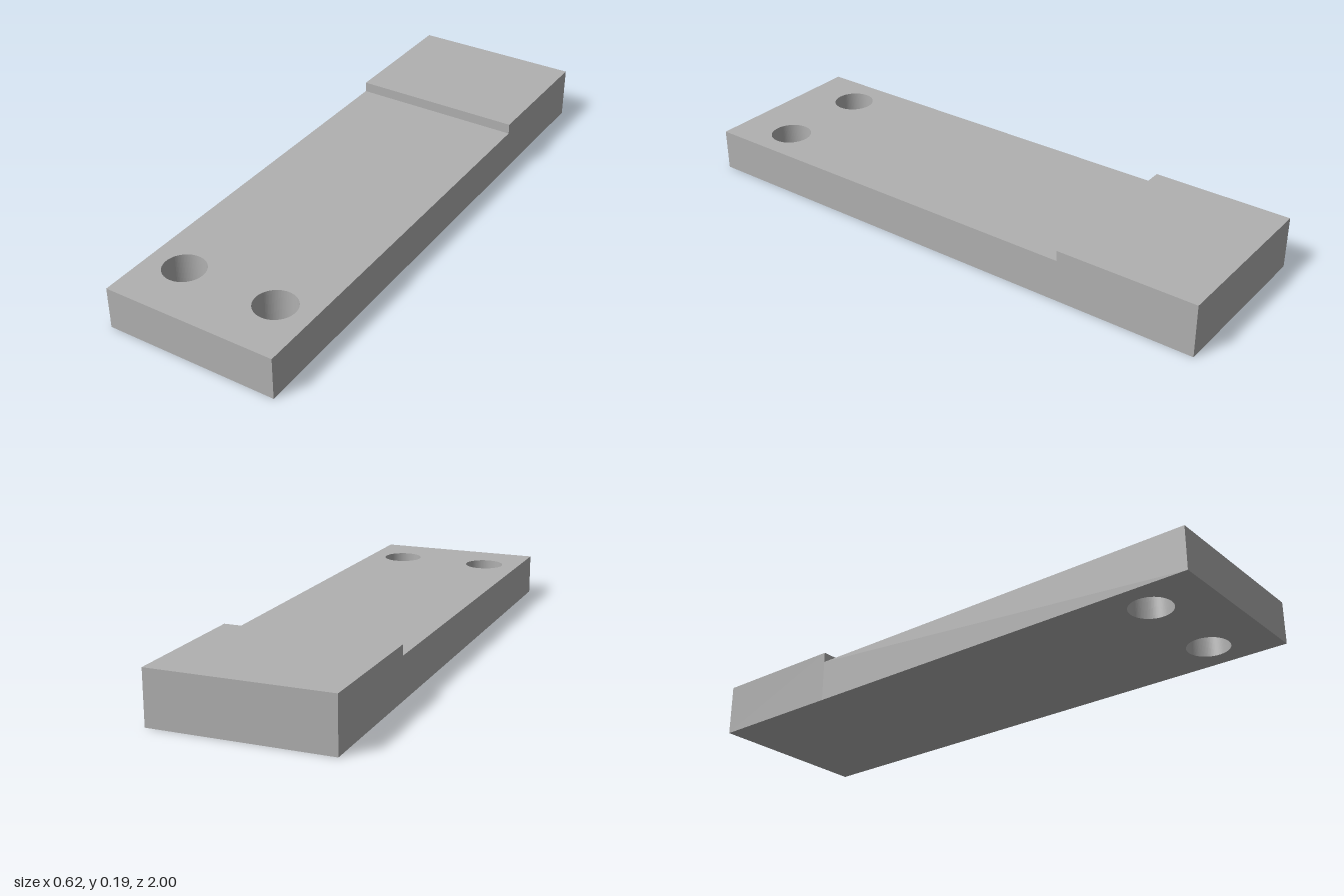
import * as THREE from 'three';

const HALF_WIDTH = 0.311;
const STEP_Z = -0.5; // where the thick heel meets the thinner plate
const PLATE_HEIGHT = 0.15;
const HEEL_HEIGHT = 0.187;

export function createModel() {
  const group = new THREE.Group();
  group.name = 'steppedMountingPlate';

  const grey = new THREE.MeshStandardMaterial({ color: 0xb0b0b0 });
  grey.name = 'plain grey';

  // Thin plate: outline drawn in x and -z, with two round through holes
  const outline = new THREE.Shape([
    new THREE.Vector2(-HALF_WIDTH, -1),
    new THREE.Vector2(HALF_WIDTH, -1),
    new THREE.Vector2(HALF_WIDTH, -STEP_Z),
    new THREE.Vector2(-HALF_WIDTH, -STEP_Z),
  ]);
  for (const side of [-1, 1]) {
    outline.holes.push(new THREE.Path().absarc(side * 0.175, -0.79, 0.073, 0, Math.PI * 2, true));
  }
  const plateGeometry = new THREE.ExtrudeGeometry(outline, {
    depth: PLATE_HEIGHT, bevelEnabled: false, curveSegments: 48,
  });
  plateGeometry.rotateX(-Math.PI / 2);
  const plate = new THREE.Mesh(plateGeometry, grey);
  plate.name = 'drilledPlate';
  group.add(plate);

  // Raised heel block at the back
  const heelLength = STEP_Z + 1;
  const heel = new THREE.Mesh(
    new THREE.BoxGeometry(HALF_WIDTH * 2, HEEL_HEIGHT, heelLength), grey);
  heel.name = 'raisedHeel';
  heel.position.set(0, HEEL_HEIGHT / 2, -1 + heelLength / 2);
  group.add(heel);

  return group;
}
